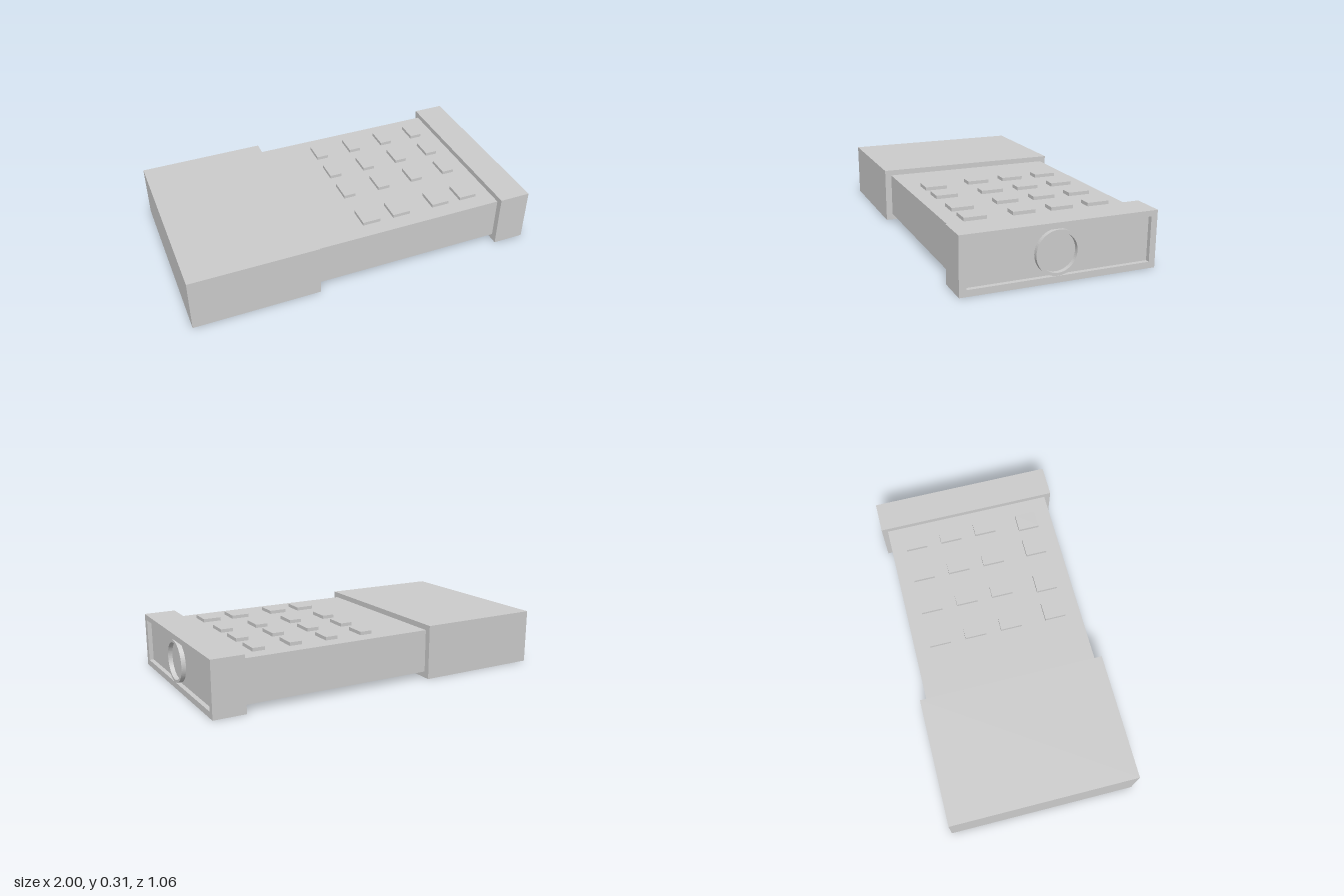
import * as THREE from 'three';

const material = new THREE.MeshStandardMaterial({ color: 0xcccccc, flatShading: true });
const smooth = new THREE.MeshStandardMaterial({ color: 0xcccccc });

export function createModel() {
  const model = new THREE.Group();

  const add = (name, geometry, mat = material) => {
    const mesh = new THREE.Mesh(geometry, mat);
    mesh.name = name;
    model.add(mesh);
    return mesh;
  };
  // Box given by its minimum and maximum on each axis
  const box = (name, x0, x1, y0, y1, z0, z1) =>
    add(name, new THREE.BoxGeometry(x1 - x0, y1 - y0, z1 - z0))
      .position.set((x0 + x1) / 2, (y0 + y1) / 2, (z0 + z1) / 2);

  // Head block and slimmer body, which runs on to the floor of the end recess
  box('headBlock', -1, -0.283, 0, 0.308, -0.532, 0.532);
  box('body', -0.283, 0.975, 0.035, 0.277, -0.497, 0.495);

  // Extrude a shape drawn in (-z, y) along +x
  const extrudeAlongX = (name, shape, x0, x1, mat, curveSegments = 12) => {
    const geometry = new THREE.ExtrudeGeometry(shape, { depth: x1 - x0, bevelEnabled: false, curveSegments });
    geometry.rotateY(Math.PI / 2);
    add(name, geometry, mat).position.x = x0;
  };
  const rectangle = (path, u0, u1, v0, v1) =>
    path.moveTo(u0, v0).lineTo(u1, v0).lineTo(u1, v1).lineTo(u0, v1).closePath();

  // Rectangular collar framing the recessed end
  const collar = new THREE.Shape();
  rectangle(collar, -0.532, 0.532, 0, 0.308);
  const opening = new THREE.Path();
  rectangle(opening, -0.495, 0.497, 0.035, 0.277);
  collar.holes.push(opening);
  extrudeAlongX('endCollar', collar, 0.82, 1, material);

  // Thin round rim standing on the recessed end face
  const rim = new THREE.Shape().absarc(-0.02, 0.154, 0.118, 0, Math.PI * 2);
  rim.holes.push(new THREE.Path().absarc(-0.02, 0.154, 0.103, 0, Math.PI * 2, true));
  extrudeAlongX('endRing', rim, 0.975, 1, smooth, 32);

  // Keypad: three rows of narrow keys and a front row of wide keys
  for (const z of [-0.41, -0.198, 0.015]) {
    for (const x of [0.02, 0.235, 0.448, 0.658]) {
      box('key', x, x + 0.07, 0.27, 0.296, z, z + 0.125);
    }
  }
  for (const x of [0.02, 0.203, 0.448, 0.625]) {
    box('wideKey', x, x + 0.103, 0.27, 0.296, 0.282, 0.405);
  }

  return model;
}
